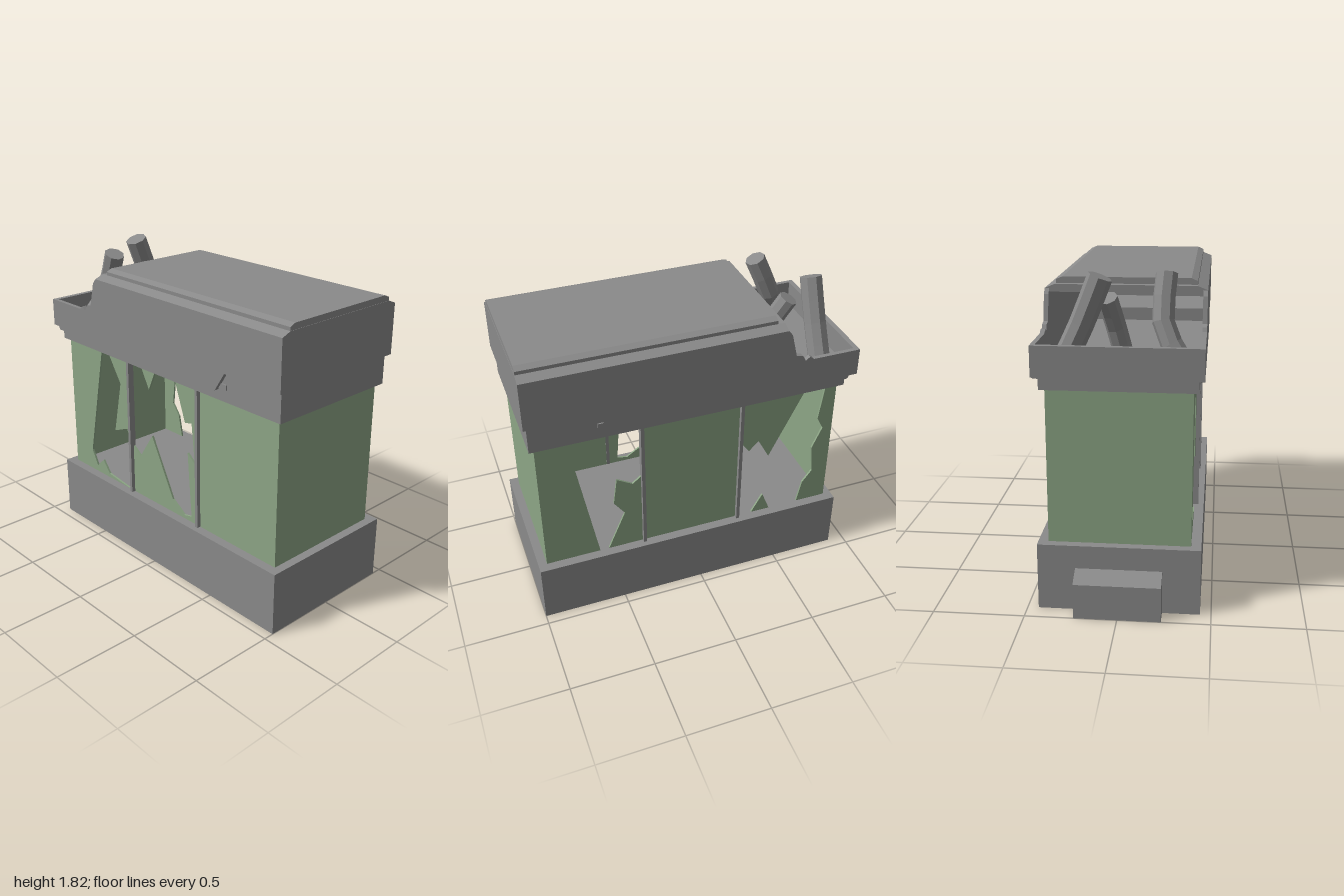
import * as THREE from 'three';

export function createModel() {
  const model = new THREE.Group();
  model.name = 'brokenTank';
  const metal = new THREE.MeshStandardMaterial({ color: 0x8a8a8a, flatShading: true });
  metal.name = 'grey metal';
  const glass = new THREE.MeshStandardMaterial({ color: 0x8da686, side: THREE.DoubleSide });
  glass.name = 'green glass';

  function add(name, geometry, material, parent = model) {
    const mesh = new THREE.Mesh(geometry, material);
    mesh.name = name;
    parent.add(mesh);
    return mesh;
  }
  // Box given by its limits on each axis
  function box(name, [x0, x1], [y0, y1], [z0, z1], material = metal) {
    const mesh = add(name, new THREE.BoxGeometry(x1 - x0, y1 - y0, z1 - z0), material);
    mesh.position.set((x0 + x1) / 2, (y0 + y1) / 2, (z0 + z1) / 2);
    return mesh;
  }
  // Outline in x and y, extruded from z0 to z1
  function plate(name, points, z0, z1, material = metal) {
    const shape = new THREE.Shape(points.map(([x, y]) => new THREE.Vector2(x, y)));
    const geometry = new THREE.ExtrudeGeometry(shape, { depth: z1 - z0, bevelEnabled: false });
    geometry.translate(0, 0, z0);
    return add(name, geometry, material);
  }
  // Outline in z and y, extruded along x
  function beam(name, points, x0, x1) {
    const shape = new THREE.Shape(points.map(([z, y]) => new THREE.Vector2(-z, y)));
    const geometry = new THREE.ExtrudeGeometry(shape, { depth: x1 - x0, bevelEnabled: false });
    geometry.rotateY(Math.PI / 2).translate(x0, 0, 0);
    return add(name, geometry, metal);
  }

  // Base and the sloped box on its end
  box('base', [-0.9, 1], [0, 0.375], [-0.44, 0.44]);
  plate('endBox', [[-1, 0], [-0.9, 0], [-0.9, 0.245], [-1, 0.197]], -0.235, 0.235);

  // Glass: two whole end walls, then the panes and shards of the long sides
  const low = 0.375, high = 1.23;
  box('endGlass', [-0.85, -0.838], [low, high], [-0.385, 0.385], glass);
  box('endGlass', [0.938, 0.95], [low, high], [-0.385, 0.385], glass);
  const pane = (x0, x1) => [[x0, low], [x1, low], [x1, high], [x0, high]];
  const frontGlass = [
    [[-0.85, low], [-0.85, high], [-0.525, high], [-0.675, 0.51], [-0.625, 0.415],
      [-0.56, 0.475], [-0.5, 0.4], [-0.3, low]],
    [[-0.46, high], [-0.35, 1.06], [-0.42, 0.73], [-0.3, 0.78], [-0.245, 0.64], [-0.245, high]],
    [[-0.15, high], [-0.08, 1.1], [-0.02, high]],
    [[0.15, high], [0.235, 0.99], [0.29, 1.005], [0.315, 0.76], [0.255, 0.81], [0.285, 0.41],
      [0.22, 0.395], [0.12, 0.46], [-0.06, 0.81], [-0.175, 0.64], [-0.245, 0.69],
      [-0.245, low], [0.35, low], [0.35, high]],
    pane(0.35, 0.95),
  ];
  const backGlass = [
    [[-0.85, low], [-0.85, high], [-0.78, high], [-0.75, 1.0], [-0.79, 0.92], [-0.73, 0.78],
      [-0.75, 0.6], [-0.69, 0.52], [-0.66, low]],
    [[-0.47, low], [-0.42, 0.5], [-0.35, low]],
    [[-0.65, high], [-0.44, 0.8], [-0.37, 0.93], [-0.31, 0.87], [-0.245, 0.96], [-0.245, high]],
    pane(-0.245, 0.35),
    [[0.35, low], [0.57, low], [0.464, 0.625], [0.527, 0.715], [0.504, 0.886], [0.41, 0.83],
      [0.35, 0.88]],
    [[0.95, high], [0.61, high], [0.7, 1.1], [0.76, 1.16], [0.625, low], [0.95, low]],
  ];
  for (const points of frontGlass) plate('frontGlass', points, 0.373, 0.385, glass);
  for (const points of backGlass) plate('backGlass', points, -0.385, -0.373, glass);

  // Posts between the panes
  for (const x of [-0.25, 0.35])
    for (const side of [-1, 1])
      box('post', [x - 0.01, x + 0.01], [low, high],
        side > 0 ? [0.37, 0.408] : [-0.408, -0.37]);

  // Collar over the glass, higher at the whole end
  box('collar', [-0.88, 0.98], [1.23, 1.3], [-0.412, 0.412]);
  box('collarBlock', [0.5, 0.98], [1.29, 1.41], [-0.412, 0.412]);

  // Hollow lid: floor, end walls and long walls with a torn edge
  box('lidFloor', [-0.92, 0.6], [1.3, 1.33], [-0.42, 0.42]);
  box('trayEnd', [-0.94, -0.91], [1.31, 1.475], [-0.44, 0.44]);
  box('lidEnd', [0.97, 1], [1.4, 1.688], [-0.44, 0.44]);
  const wall = [[-0.94, 1.31], [-0.89, 1.31], [-0.88, 1.29], [0.535, 1.29], [0.605, 1.4], [1, 1.4],
    [1, 1.69], [-0.48, 1.69], [-0.505, 1.66], [-0.54, 1.52], [-0.58, 1.51], [-0.6, 1.475],
    [-0.625, 1.495], [-0.65, 1.475], [-0.94, 1.475]];
  plate('lidWall', wall, 0.415, 0.44);
  plate('lidWall', wall, -0.44, -0.415);

  // Stepped roof
  beam('roof', [[-0.44, 1.67], [0.44, 1.67], [0.44, 1.69], [0.385, 1.712], [-0.385, 1.712],
    [-0.44, 1.69]], -0.48, 1);
  beam('roofPanel', [[-0.385, 1.71], [0.385, 1.71], [0.385, 1.732], [0.35, 1.747],
    [-0.35, 1.747], [-0.385, 1.732]], -0.44, 0.998);

  // Bent pipes rising out of the open tray
  function pipe(radius, ...points) {
    const group = new THREE.Group();
    group.name = 'pipe';
    model.add(group);
    const curve = new THREE.CatmullRomCurve3(points.map((p) => new THREE.Vector3(...p)));
    add('pipeBody', new THREE.TubeGeometry(curve, 4, radius, 8), metal, group);
    for (const t of [0, 1]) {
      // The cap takes its corners from the tube's own end ring
      const out = curve.getTangent(t).multiplyScalar(t ? 1 : -1);
      const frame = curve.computeFrenetFrames(4);
      const n = frame.normals[t * 4];
      const cap = add('pipeCap', new THREE.CircleGeometry(radius, 8), metal, group);
      const side = new THREE.Vector3().crossVectors(out, n);
      cap.quaternion.setFromRotationMatrix(new THREE.Matrix4().makeBasis(n, side, out));
      cap.position.copy(curve.getPoint(t));
    }
  }
  pipe(0.066, [-0.77, 1.32, -0.31], [-0.77, 1.55, -0.2], [-0.77, 1.8, -0.1]);
  pipe(0.06, [-0.74, 1.34, 0.33], [-0.68, 1.53, 0.22], [-0.57, 1.79, 0.225]);
  pipe(0.056, [-0.53, 1.32, 0], [-0.56, 1.49, -0.04], [-0.65, 1.67, -0.08]);

  return model;
}
